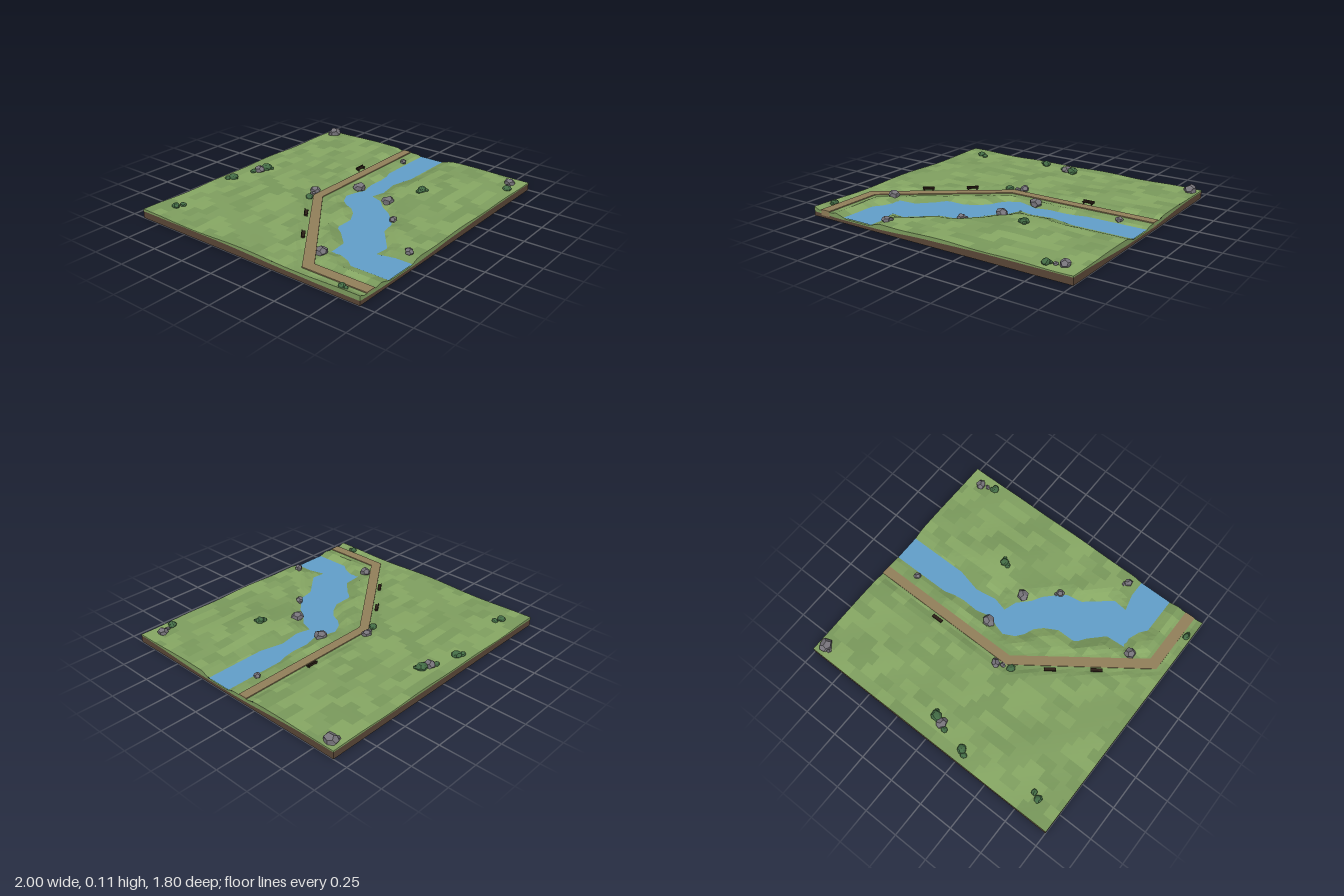
import * as THREE from 'three';

const W = 1, D = 0.9;          // half width and half depth of the tile
const NX = 50, NZ = 46;        // terrain cells
const WATER_Y = 0.038;

// River bank outline and path centre line as [x, z]
const river = [
  [1.2, -0.01], [0.57, -0.01], [0.5, 0.01], [0.42, 0.02], [0.3, 0.015], [0.2, 0.04], [0.12, 0.01], [0.05, -0.01],
  [-0.03, 0.03], [-0.07, 0.08], [-0.1, 0.15], [-0.15, 0.2], [-0.24, 0.25], [-0.38, 0.25], [-0.43, 0.32],
  [-0.53, 0.42], [-0.67, 0.43], [-0.66, 0.5], [-0.69, 0.58], [-0.73, 0.63], [-0.73, 1.1],
  [-0.49, 1.1], [-0.49, 0.78], [-0.52, 0.66], [-0.42, 0.67], [-0.36, 0.62], [-0.24, 0.52], [-0.13, 0.5],
  [-0.07, 0.45], [0, 0.38], [0.04, 0.31], [0.12, 0.23], [0.15, 0.14], [0.25, 0.165], [0.4, 0.14], [0.57, 0.18], [1.2, 0.18],
];
const pathLine = [[-0.9, 1.1], [-0.9, 0.45], [-0.1, -0.14], [1.2, -0.14]];

const mat = (color, extra = {}) => new THREE.MeshStandardMaterial({ color, flatShading: true, ...extra });
const hash = (a, b) => {
  const s = Math.sin(a * 127.1 + b * 311.7) * 43758.5453;
  return s - Math.floor(s);
};
const smooth = THREE.MathUtils.smoothstep;

function segDist(x, z, [ax, az], [bx, bz]) {
  const dx = bx - ax, dz = bz - az;
  const t = THREE.MathUtils.clamp(((x - ax) * dx + (z - az) * dz) / (dx * dx + dz * dz), 0, 1);
  return Math.hypot(x - ax - t * dx, z - az - t * dz);
}

// Signed distance to the river bank, negative in the water
function riverDist(x, z) {
  let d = Infinity, inside = false;
  river.forEach((a, i) => {
    const b = river[(i + 1) % river.length];
    d = Math.min(d, segDist(x, z, a, b));
    if ((a[1] > z) !== (b[1] > z) && x < a[0] + ((z - a[1]) / (b[1] - a[1])) * (b[0] - a[0])) inside = !inside;
  });
  return inside ? -d : d;
}

// Rolling meadow, levelled under the path and cut down to the river bed
function height(x, z) {
  let land = 0.06 + 0.004 * Math.sin(x * 5 + 1) * Math.cos(z * 6) + 0.003 * Math.sin(x * 11 + z * 8);
  land += 0.022 * Math.exp(-(((x - 0.42) / 0.3) ** 2) - ((z - 0.45) / 0.22) ** 2);
  let d = Infinity;
  for (let i = 0; i < 3; i++) d = Math.min(d, segDist(x, z, pathLine[i], pathLine[i + 1]));
  land = THREE.MathUtils.lerp(0.048, land, smooth(d, 0.055, 0.1));
  return Math.max(0.031, Math.min(land, 0.036 + 0.35 * riverDist(x, z)));
}

// The soil line sinks towards the river
const soil = (x, z) => Math.min(height(x, z) - 0.007, 0.022 + 0.026 * smooth(riverDist(x, z), 0, 0.7));

function geometryOf(points) {
  const g = new THREE.BufferGeometry();
  g.setAttribute('position', new THREE.Float32BufferAttribute(points, 3));
  g.computeVertexNormals();
  return g;
}

const quad = (out, a, b, c, d) => out.push(...a, ...b, ...c, ...a, ...c, ...d);

// Vertical wall all round the tile between two height functions
function wall(low, high) {
  const ring = [], n = 50;
  const corners = [[-W, D], [W, D], [W, -D], [-W, -D], [-W, D]];
  for (let s = 0; s < 4; s++) {
    for (let i = 0; i < n; i++) {
      ring.push([0, 1].map((k) => THREE.MathUtils.lerp(corners[s][k], corners[s + 1][k], i / n)));
    }
  }
  const out = [];
  ring.forEach(([x, z], i) => {
    const [u, v] = ring[(i + 1) % ring.length];
    quad(out, [x, low(x, z), z], [u, low(u, v), v], [u, high(u, v), v], [x, high(x, z), z]);
  });
  return geometryOf(out);
}

function flatShape(points) {
  return new THREE.Shape(points.map(([x, z]) => new THREE.Vector2(Math.min(x, W), -Math.min(z, D))));
}

// Faceted lump with its vertices pushed in and out
function lump(base, seed, amount) {
  const p = base.attributes.position, v = new THREE.Vector3();
  for (let i = 0; i < p.count; i++) {
    v.fromBufferAttribute(p, i);
    const k = hash(Math.round(v.x * 50) + seed, Math.round(v.y * 50) + Math.round(v.z * 50) * 3);
    v.multiplyScalar(1 + (k - 0.5) * amount);
    p.setXYZ(i, v.x, v.y, v.z);
  }
  base.computeVertexNormals();
  return base;
}

export function createModel() {
  const model = new THREE.Group();
  const add = (parent, name, geometry, material) => {
    const m = new THREE.Mesh(geometry, material);
    m.name = name;
    parent.add(m);
    return m;
  };

  // Grass, as patches in three shades
  const shades = [0x7a9a5c, 0x80a060, 0x87a864], cells = [[], [], []];
  for (let j = 0; j < NZ; j++) {
    for (let i = 0; i < NX; i++) {
      const at = (a, b) => {
        const x = -W + (2 * W * a) / NX, z = -D + (2 * D * b) / NZ;
        return [x, height(x, z), z];
      };
      const shade = Math.floor(hash(Math.floor((i + (j >> 1) % 3) / 3), j >> 1) * 3);
      quad(cells[shade], at(i, j + 1), at(i + 1, j + 1), at(i + 1, j), at(i, j));
    }
  }
  cells.forEach((c, i) => add(model, `grassShade${i + 1}`, geometryOf(c), mat(shades[i])));
  add(model, 'grassEdge', wall(soil, height), mat(shades[1]));

  // Soil slab
  const soilMat = mat(0x5c4838);
  add(model, 'soilSides', wall(() => 0, soil), soilMat);
  add(model, 'soilBottom', new THREE.PlaneGeometry(2 * W, 2 * D).rotateX(Math.PI / 2), soilMat);

  // River surface
  const water = add(model, 'river', new THREE.ShapeGeometry(flatShape(river)).rotateX(-Math.PI / 2),
    mat(0x62a0cb, { side: THREE.DoubleSide }));
  water.position.y = WATER_Y;

  // Dirt path
  const path = flatShape([[-0.936, D], [-0.936, 0.43], [-0.11, -0.175], [W, -0.175],
    [W, -0.108], [-0.09, -0.108], [-0.862, 0.465], [-0.862, D]]);
  add(model, 'path', new THREE.ExtrudeGeometry(path, { depth: 0.04, bevelEnabled: false }).rotateX(-Math.PI / 2),
    mat(0x93805a)).position.y = 0.015;

  // Benches beside the path
  const wood = mat(0x2c1f16);
  for (const [x, z, turn] of [[0.47, -0.205, 0], [-0.37, -0.02, 0.635], [-0.62, 0.17, 0.635]]) {
    const bench = new THREE.Group();
    bench.name = 'bench';
    const part = (name, w, h, d, px, py, pz) =>
      add(bench, name, new THREE.BoxGeometry(w, h, d), wood).position.set(px, py, pz);
    part('seat', 0.08, 0.005, 0.024, 0, 0.013, 0);
    part('backrest', 0.08, 0.01, 0.004, 0, 0.02, -0.01);
    for (const s of [-1, 1]) part('leg', 0.006, 0.016, 0.02, s * 0.03, 0.004, 0);
    bench.position.set(x, height(x, z), z);
    bench.rotation.y = turn;
    model.add(bench);
  }

  // Rocks and bushes: x, z, radius
  const rocks = [[-0.03, -0.76, 0.04], [0.945, -0.83, 0.047], [0.905, -0.845, 0.018], [-0.05, -0.21, 0.034],
    [-0.095, -0.19, 0.02], [0.18, 0, 0.045], [0.79, -0.04, 0.025], [-0.73, 0.41, 0.04], [0.11, 0.3, 0.043],
    [-0.085, 0.48, 0.028], [-0.065, 0.455, 0.013], [-0.42, 0.83, 0.03], [-0.4, 0.805, 0.016],
    [0.89, 0.805, 0.037], [0.84, 0.82, 0.018]];
  const bushes = [[-0.835, -0.765, 0.027], [-0.79, -0.745, 0.021], [-0.28, -0.84, 0.021], [-0.245, -0.815, 0.032],
    [-0.07, -0.785, 0.022], [0.03, -0.745, 0.037], [0.05, -0.715, 0.016], [-0.155, -0.175, 0.028],
    [0.33, 0.405, 0.021], [0.36, 0.41, 0.03], [0.375, 0.435, 0.015], [-0.965, 0.75, 0.024],
    [-0.965, 0.775, 0.014], [0.785, 0.84, 0.028], [0.8, 0.825, 0.018]];
  const scatter = (name, list, makeGeometry, material, squash) => list.forEach(([x, z, r], i) => {
    const m = add(model, name, makeGeometry(i), material);
    m.scale.set(r * 1.08, r * squash, r * 0.95);
    m.rotation.y = hash(i, 7) * 6;
    m.position.set(x, height(x, z) + r * 0.3, z);
  });
  scatter('rock', rocks, (i) => lump(new THREE.DodecahedronGeometry(1, 0), i, 0.25), mat(0x76737a), 0.8);
  scatter('bush', bushes, (i) => lump(new THREE.IcosahedronGeometry(1, 1), i, 0.2), mat(0x436c45), 0.8);

  return model;
}
